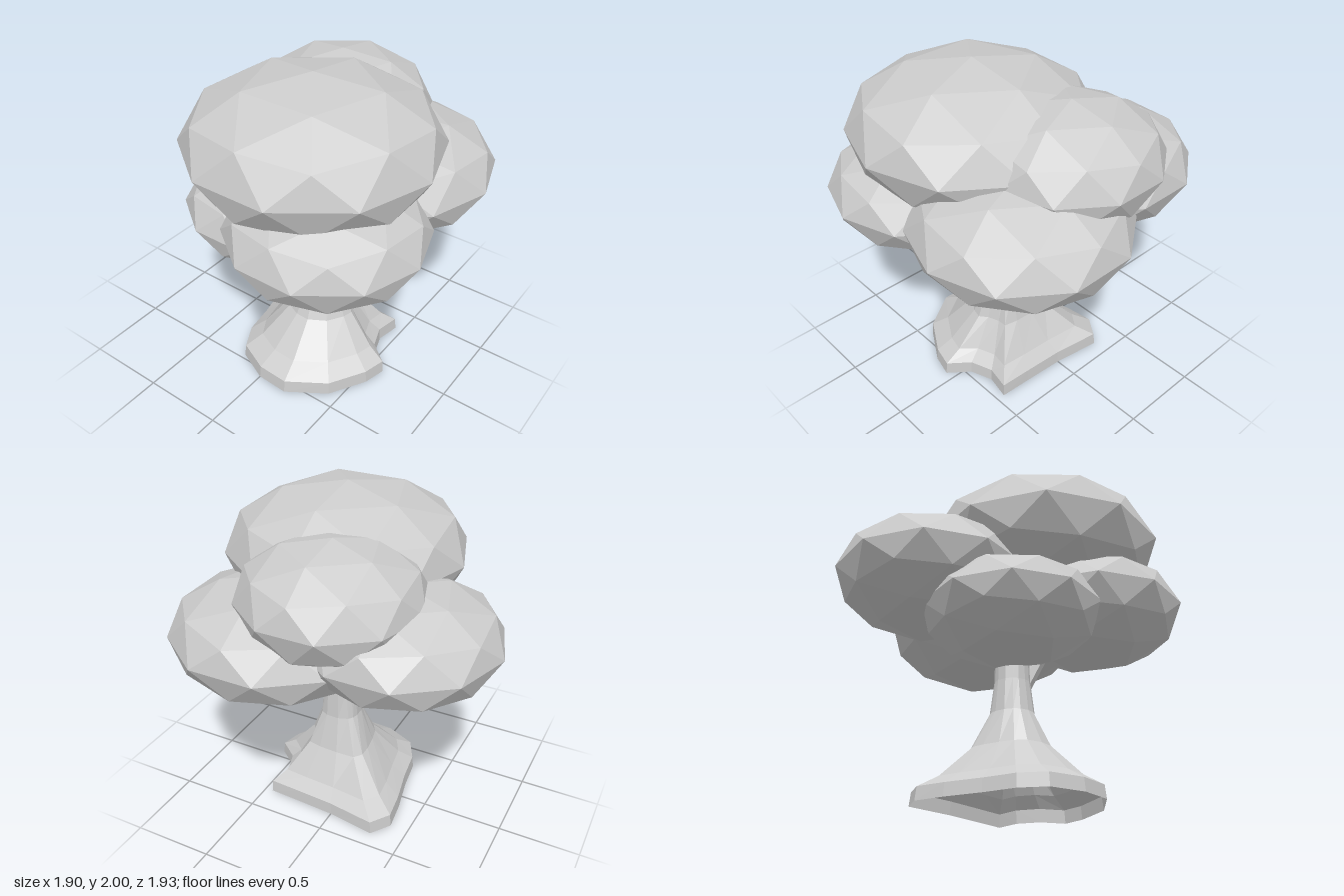
import * as THREE from 'three';

const material = new THREE.MeshStandardMaterial({ color: 0xcccccc, flatShading: true, side: THREE.DoubleSide });

// Faceted foliage clump: an icosphere with a vertex pointing up, flattened in y
function clump(name, x, y, z, radius, height) {
  const geo = new THREE.IcosahedronGeometry(1, 1);
  geo.rotateZ(-Math.atan2(2, 1 + Math.sqrt(5)));
  geo.scale(radius, height, radius);
  const mesh = new THREE.Mesh(geo, material);
  mesh.position.set(x, y, z);
  mesh.name = name;
  return mesh;
}

// Hollow trunk: a round neck that blends down into an irregular root outline
function trunkGeometry() {
  const cx = -0.02, cz = 0.11;
  const outline = [ // x, z of the root edge
    [0.40, -0.30], [0.355, 0.0], [0.34, 0.25], [0.33, 0.45],
    [0.18, 0.42], [0.04, 0.47], [-0.06, 0.595], [-0.2, 0.56],
    [-0.42, 0.43], [-0.57, 0.2], [-0.56, 0.0], [-0.47, -0.2],
    [-0.32, -0.28], [-0.12, -0.31], [0.10, -0.36], [0.28, -0.385],
  ];
  const levels = [ // y, neck radius, blend to the root outline
    [0, 0.105, 1], [0.08, 0.105, 0.98], [0.15, 0.105, 0.72], [0.34, 0.105, 0.3],
    [0.56, 0.108, 0.06], [0.76, 0.11, 0], [0.93, 0.105, 0], [1.1, 0.11, 0],
  ];
  const n = outline.length, pos = [], index = [];
  levels.forEach(([y, r, w], j) => {
    outline.forEach(([px, pz], i) => {
      const a = Math.atan2(pz - cz, px - cx);
      pos.push(
        THREE.MathUtils.lerp(cx + r * Math.cos(a), px, w), y,
        THREE.MathUtils.lerp(cz + r * Math.sin(a), pz, w));
      if (j === 0) return;
      const k = (i + 1) % n, lo = (j - 1) * n, hi = j * n;
      index.push(lo + i, hi + i, lo + k, lo + k, hi + i, hi + k);
    });
  });
  const geo = new THREE.BufferGeometry();
  geo.setAttribute('position', new THREE.Float32BufferAttribute(pos, 3));
  geo.setIndex(index);
  geo.computeVertexNormals();
  return geo;
}

// Straight limb between two points
function limb(name, from, to, r0, r1) {
  const a = new THREE.Vector3(...from), b = new THREE.Vector3(...to);
  const dir = b.clone().sub(a);
  const mesh = new THREE.Mesh(new THREE.CylinderGeometry(r1, r0, dir.length(), 7), material);
  mesh.position.copy(a).add(b).multiplyScalar(0.5);
  mesh.quaternion.setFromUnitVectors(new THREE.Vector3(0, 1, 0), dir.normalize());
  mesh.name = name;
  return mesh;
}

export function createModel() {
  const tree = new THREE.Group();
  tree.name = 'tree';

  const trunk = new THREE.Mesh(trunkGeometry(), material);
  trunk.name = 'trunk';
  tree.add(trunk, limb('branch', [-0.065, 0.76, 0.175], [-0.15, 1.05, 0.29], 0.045, 0.05));

  const foliage = new THREE.Group();
  foliage.name = 'foliage';
  foliage.add(
    clump('topClump', -0.22, 1.6, 0.16, 0.73, 0.4),
    clump('upperLeftClump', 0.345, 1.555, -0.04, 0.54, 0.335),
    clump('frontLeftClump', 0.34, 1.27, 0.31, 0.635, 0.335),
    clump('frontRightClump', -0.41, 1.22, 0.395, 0.57, 0.31),
    clump('backClump', 0.21, 1.33, -0.385, 0.585, 0.315),
    clump('lowerClump', -0.19, 1.085, -0.13, 0.54, 0.275));
  tree.add(foliage);
  return tree;
}
